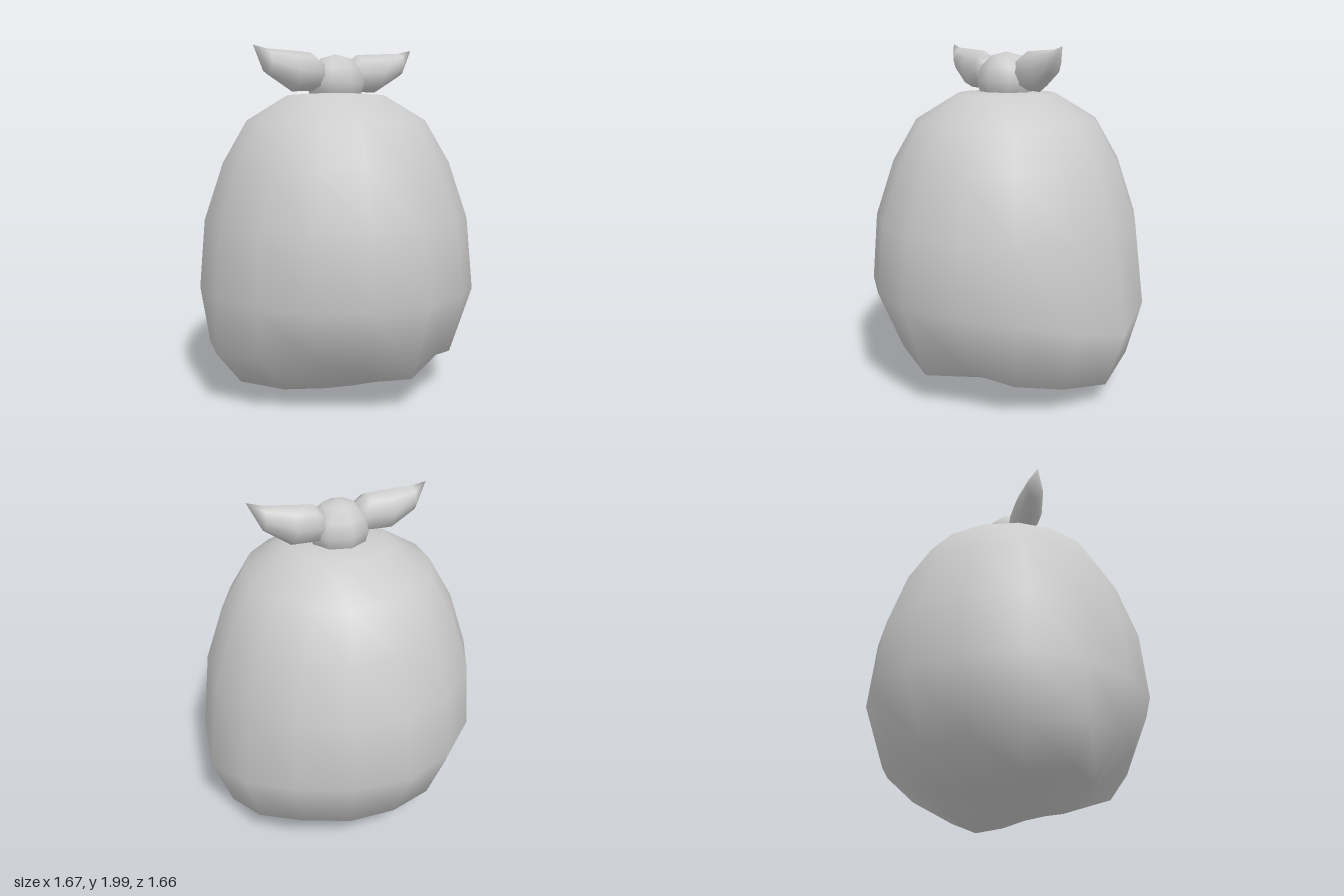
import * as THREE from 'three';
import { mergeVertices } from 'three/addons/utils/BufferGeometryUtils.js';

const material = new THREE.MeshStandardMaterial({ color: 0xcccccc });

// Smooth closed surface through a list of rings (each an array of equal length).
function loft(rings) {
  const n = rings[0].length, pos = rings.flat(2), index = [];
  for (let i = 0; i < rings.length - 1; i++) {
    for (let j = 0; j < n; j++) {
      const k = (j + 1) % n;
      const a = i * n + j, b = i * n + k, c = a + n, d = b + n;
      index.push(a, b, c, b, d, c);
    }
  }
  let g = new THREE.BufferGeometry();
  g.setAttribute('position', new THREE.Float32BufferAttribute(pos, 3));
  g.setIndex(index);
  g = mergeVertices(g, 1e-5);
  g.computeVertexNormals();
  return g;
}

function add(group, name, geometry) {
  const mesh = new THREE.Mesh(geometry, material);
  mesh.name = name;
  group.add(mesh);
  return mesh;
}

// Round shoulders above, three uneven sagging rings below, listed top to bottom.
function sackGeometry() {
  const sides = 16;
  const even = (y, r) => ({ y: Array(sides).fill(y), r: Array(sides).fill(r) });
  // heights and radii run from the left side (+x) round by the front
  const rings = [
    even(1.75, 0),
    even(1.73, 0.285),
    even(1.585, 0.525),
    even(1.345, 0.665),
    even(1.02, 0.775),
    {
      y: [0.46, 0.53, 0.6, 0.63, 0.63, 0.63, 0.63, 0.63, 0.63, 0.63, 0.63, 0.63, 0.63, 0.63, 0.61, 0.54],
      r: [0.86, 0.835, 0.815, 0.815, 0.83, 0.815, 0.81, 0.81, 0.81, 0.81, 0.81, 0.815, 0.83, 0.815, 0.815, 0.835],
    },
    {
      y: [0.13, 0.17, 0.21, 0.27, 0.2, 0.28, 0.33, 0.35, 0.32, 0.3, 0.27, 0.26, 0.265, 0.28, 0.3, 0.22],
      r: [0.745, 0.71, 0.69, 0.67, 0.69, 0.675, 0.7, 0.76, 0.815, 0.76, 0.7, 0.69, 0.68, 0.7, 0.74, 0.75],
    },
    {
      y: [0.01, 0.04, 0.08, 0.09, 0.08, 0.09, 0.1, 0.115, 0.13, 0.12, 0.11, 0.11, 0.12, 0.11, 0.09, 0.05],
      r: [0.405, 0.37, 0.35, 0.34, 0.35, 0.37, 0.43, 0.56, 0.665, 0.56, 0.43, 0.37, 0.365, 0.36, 0.36, 0.38],
    },
    even(0.07, 0),
  ];
  return loft(rings.map(({ y, r }) => y.map((h, j) => {
    const a = j / sides * Math.PI * 2;
    return [-0.025 + r[j] * Math.cos(a), h, r[j] * Math.sin(a)];
  })));
}

// Pointed cloth end along +x: [x, y, half height, half depth, z]
function clothEndGeometry(bend) {
  const sections = [
    [0.08, 1.84, 0, 0, -0.01],
    [0.1, 1.84, 0.085, 0.07, -0.01],
    [0.16, 1.86, 0.108, 0.085, 0],
    [0.275, 1.862, 0.113, 0.096, 0.03],
    [0.415, 1.912, 0.07, 0.06, 0.08],
    [0.49, 2.0, 0, 0, 0.11],
  ];
  const sides = 8;
  return loft(sections.map(([x, y, h, d, z]) =>
    Array.from({ length: sides }, (_, j) => {
      const a = j / sides * Math.PI * 2;
      return [x, y + h * Math.cos(a), bend * z + d * Math.sin(a)];
    })));
}

export function createModel() {
  const model = new THREE.Group();
  model.name = 'tiedSack';

  add(model, 'sack', sackGeometry());

  // Knot
  const knot = new THREE.SphereGeometry(1, 8, 6);
  knot.scale(0.175, 0.165, 0.165);
  knot.translate(-0.027, 1.8, 0);
  add(model, 'knot', knot);

  // Two cloth ends, the second turned half round and bent less
  for (const [name, turn, bend, x] of [
    ['leftClothEnd', 0, 1, -0.03],
    ['rightClothEnd', Math.PI, 0.72, -0.042],
  ]) {
    const end = add(model, name, clothEndGeometry(bend));
    end.position.x = x;
    end.rotation.y = turn;
  }
  return model;
}
